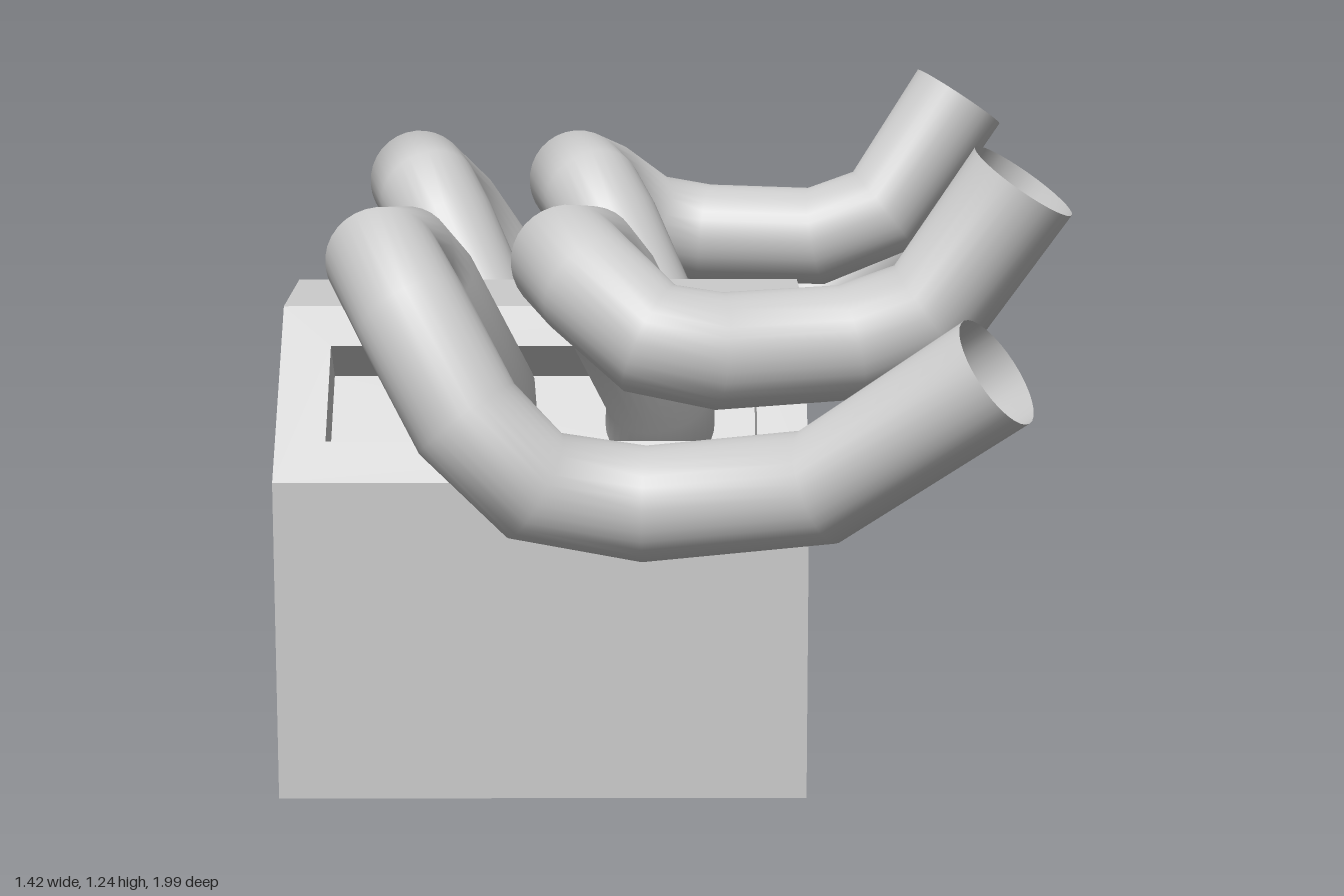
import * as THREE from 'three';

const grey = new THREE.MeshStandardMaterial({ color: 0xcccccc });
const greyDouble = new THREE.MeshStandardMaterial({ color: 0xcccccc, side: THREE.DoubleSide });
const greyInside = new THREE.MeshStandardMaterial({ color: 0xcccccc, side: THREE.BackSide });

// Body dimensions
const HALF_X = 0.4875, CENTRE_X = -0.2175;
const EAVE_Y = 0.597, TOP_Y = 0.875, EAVE_Z = 0.433, TOP_Z = 0.155;
const SLOT_W = 0.79, SLOT_H = 0.212, SLOT_DEPTH = 0.1;

function addMesh(parent, name, geometry, material = grey) {
  const mesh = new THREE.Mesh(geometry, material);
  mesh.name = name;
  parent.add(mesh);
  return mesh;
}

function rectangle(PathType, w, h) {
  return new PathType([[-w, -h], [w, -h], [w, h], [-w, h]].map(([x, y]) => new THREE.Vector2(x / 2, y / 2)));
}

// Sloped face with a rectangular port recess sunk into it
function createPortFace() {
  const group = new THREE.Group();
  group.name = 'portFace';
  const slope = Math.hypot(EAVE_Z - TOP_Z, TOP_Y - EAVE_Y);
  const panel = rectangle(THREE.Shape, HALF_X * 2, slope);
  panel.holes.push(rectangle(THREE.Path, SLOT_W, SLOT_H));
  addMesh(group, 'slopedPanel', new THREE.ShapeGeometry(panel));

  const recess = new THREE.BoxGeometry(SLOT_W, SLOT_H, SLOT_DEPTH);
  // leave the outward side open
  recess.setIndex(Array.from(recess.index.array).filter((_, i) => i < 24 || i >= 30));
  recess.clearGroups();
  addMesh(group, 'portRecess', recess, greyInside).position.z = -SLOT_DEPTH / 2;

  group.position.set(0, (EAVE_Y + TOP_Y) / 2, (EAVE_Z + TOP_Z) / 2);
  group.rotation.x = -Math.atan2(EAVE_Z - TOP_Z, TOP_Y - EAVE_Y);
  return group;
}

// Block: each half holds a wall, a sloped port face and an end plate
function createBody() {
  const body = new THREE.Group();
  body.name = 'engineBlock';
  body.position.x = CENTRE_X;
  const outline = new THREE.Shape([
    [-EAVE_Z, 0], [EAVE_Z, 0], [EAVE_Z, EAVE_Y], [TOP_Z, TOP_Y], [-TOP_Z, TOP_Y], [-EAVE_Z, EAVE_Y],
  ].map(([z, y]) => new THREE.Vector2(z, y)));

  for (const [name, turn] of [['frontHalf', 0], ['backHalf', Math.PI]]) {
    const half = new THREE.Group();
    half.name = name;
    half.rotation.y = turn;
    addMesh(half, 'sideWall', new THREE.PlaneGeometry(HALF_X * 2, EAVE_Y)).position.set(0, EAVE_Y / 2, EAVE_Z);
    half.add(createPortFace());
    const end = addMesh(half, 'endPlate', new THREE.ShapeGeometry(outline));
    end.rotation.y = Math.PI / 2;
    end.position.x = HALF_X;
    body.add(half);
  }
  const top = addMesh(body, 'topPlate', new THREE.PlaneGeometry(HALF_X * 2, TOP_Z * 2));
  top.rotation.x = -Math.PI / 2;
  top.position.y = TOP_Y;
  const base = addMesh(body, 'basePlate', new THREE.PlaneGeometry(HALF_X * 2, EAVE_Z * 2));
  base.rotation.x = Math.PI / 2;
  return body;
}

// Pipe with one ring at each path point, open at both ends
function pipeGeometry(points, side) {
  const curve = new THREE.CatmullRomCurve3(points.map(([x, y, z]) => new THREE.Vector3(x, y, z * side)));
  curve.getPointAt = (u, target) => curve.getPoint(u, target);
  curve.getTangentAt = (u, target) => curve.getTangent(u, target);
  return new THREE.TubeGeometry(curve, points.length - 1, 0.102, 32, false);
}

const LOWER_PIPE = [
  [-0.33, 0.665, 0.225], [-0.33, 0.735, 0.295], [-0.43, 0.95, 0.375], [-0.465, 1.005, 0.435],
  [-0.49, 1.02, 0.53], [-0.43, 0.94, 0.65], [-0.335, 0.78, 0.745], [-0.22, 0.66, 0.735],
  [-0.03, 0.618, 0.695], [0.27, 0.668, 0.785], [0.56, 0.89, 0.9],
];
const UPPER_PIPE = [
  [0, 0.665, 0.225], [0, 0.735, 0.295], [-0.1, 0.95, 0.375], [-0.135, 1.005, 0.435],
  [-0.163, 1.02, 0.53], [-0.12, 0.99, 0.615], [-0.02, 0.91, 0.687], [0.1, 0.887, 0.687],
  [0.33, 0.89, 0.62], [0.47, 0.945, 0.62], [0.625, 1.178, 0.65],
];

export function createModel() {
  const model = new THREE.Group();
  model.name = 'engineWithExhausts';
  model.add(createBody());
  for (const [prefix, side] of [['front', 1], ['back', -1]]) {
    addMesh(model, prefix + 'LowerExhaustPipe', pipeGeometry(LOWER_PIPE, side), greyDouble);
    addMesh(model, prefix + 'UpperExhaustPipe', pipeGeometry(UPPER_PIPE, side), greyDouble);
  }
  return model;
}
